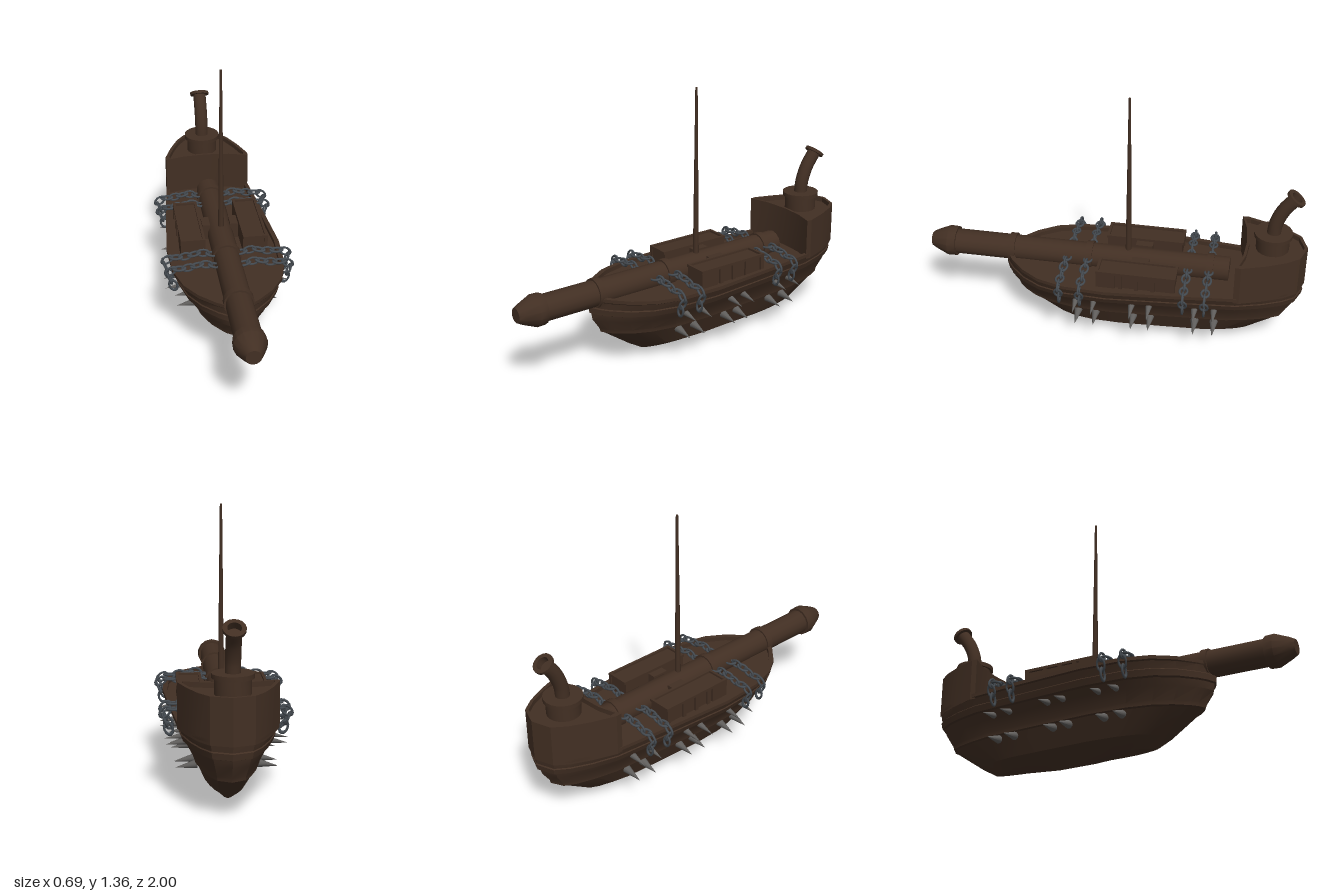
import * as THREE from 'three';
import { toCreasedNormals } from 'three/addons/utils/BufferGeometryUtils.js';

const wood = new THREE.MeshStandardMaterial({ color: 0x422f23 });
wood.name = 'dark wood';
const iron = new THREE.MeshStandardMaterial({ color: 0x454b51 });
iron.name = 'chain iron';
const steel = new THREE.MeshStandardMaterial({ color: 0x605e5c });
steel.name = 'spike steel';

// Deck outline as [half width, z], bow to stern
const plan = [[0, .59], [.06, .565], [.105, .535], [.185, .46], [.25, .36], [.29, .22], [.30, 0],
  [.27, -.35], [.237, -.67], [.195, -.80], [.148, -.90], [.10, -.965], [0, -1]];

function createModel() {
  const model = new THREE.Group();

  function add(name, geometry, material = wood, parent = model) {
    const mesh = new THREE.Mesh(geometry, material);
    mesh.name = name;
    parent.add(mesh);
    return mesh;
  }
  function box(name, x, y, z, w, h, d, parent = model) {
    const m = add(name, new THREE.BoxGeometry(w, h, d), wood, parent);
    m.position.set(x, y, z);
    return m;
  }
  const lathe = (pts, sides = 16) =>
    toCreasedNormals(new THREE.LatheGeometry(pts.map(p => new THREE.Vector2(...p)), sides), .6);

  // Joins closed rings of [x, y, z], listed bottom to top
  function loft(rings) {
    const n = rings[0].length, index = [];
    for (let r = 0; r < rings.length - 1; r++) {
      for (let i = 0; i < n; i++) {
        const a = r * n + i, b = r * n + (i + 1) % n;
        index.push(a, b, b + n, a, b + n, a + n);
      }
    }
    const g = new THREE.BufferGeometry();
    g.setAttribute('position', new THREE.Float32BufferAttribute(rings.flat(2), 3));
    g.setIndex(index);
    return toCreasedNormals(g, .4);
  }
  // Closes a half outline by mirroring it across x = 0
  const mirrored = half => [...half, ...half.slice(1, -1).reverse().map(([x, y, z]) => [-x, y, z])];

  // Hull: each level is y, bow z, stern z, half width, keel sag
  const levels = [
    [.03, .27, -.65, 0, .03], [.032, .28, -.655, .05], [.08, .36, -.74, .13], [.19, .515, -.905, .18],
    [.195, .53, -.92, .19], [.215, .535, -.925, .194], [.275, .575, -.965, .23], [.31, .58, -.975, .252],
    [.315, .59, -.99, .265], [.345, .59, -.995, .278], [.35, .585, -.99, .274], [.385, .588, -.995, .29],
    [.39, .59, -1, .30], [.408, .59, -1, .30], [.408, .565, -.975, .275], [.385, .565, -.975, .275],
    [.385, .565, -.975, 0]];
  add('hull', loft(levels.map(([y, zF, zB, w, sag = 0]) => mirrored(plan.map(([px, pz]) => {
    const t = (pz + 1) / 1.59;
    return [px / .30 * w, y - sag * (1 - Math.abs(2 * t - 1)), zB + (zF - zB) * t];
  })))));

  // Stern castle with a low parapet and a bowed-in front wall
  const castle = [[0, -.69], [.13, -.68], [.235, -.65], [.237, -.68], ...plan.slice(9)];
  add('sternCastle', loft([[.38, 1], [.60, 1], [.60, .9], [.575, .9], [.575, 0]].map(([y, s]) =>
    mirrored(castle.map(([x, z]) => [x * s, y, -.83 + (z + .83) * s])))));

  // Chimney: stepped drum, bent pipe and flared mouth
  const chimney = new THREE.Group();
  chimney.name = 'chimney';
  chimney.position.set(-.01, 0, -.82);
  model.add(chimney);
  add('chimneyBase', lathe([[.085, .56], [.085, .65], [.098, .65], [.098, .672], [0, .672]], 20), wood, chimney);
  const bend = new THREE.CatmullRomCurve3([[.66, 0], [.73, -.008], [.81, -.04], [.885, -.095]]
    .map(([y, z]) => new THREE.Vector3(0, y, z)));
  add('chimneyPipe', new THREE.TubeGeometry(bend, 10, .036, 14), wood, chimney);
  const mouth = add('chimneyMouth', lathe([[.03, -.008], [.053, -.008], [.053, .008],
    [.032, .008], [.032, -.03], [0, -.03]]), wood, chimney);
  mouth.position.copy(bend.getPoint(1));
  mouth.quaternion.setFromUnitVectors(new THREE.Vector3(0, 1, 0), bend.getTangent(1));

  // Long ram along the centre line, with bands
  const ram = new THREE.Group();
  ram.name = 'ram';
  ram.position.y = .415;
  ram.rotation.x = Math.PI / 2;
  model.add(ram);
  add('ramShaft', lathe([[0, -.61], [.068, -.61], [.068, .86], [.08, .86], [.082, .905],
    [.052, .975], [.038, 1], [0, 1]], 14), wood, ram);
  for (const z of [.55, .13, -.51]) {
    add('ramBand', new THREE.CylinderGeometry(.077, .077, .036, 16), wood, ram).position.y = z;
  }

  // Mast
  add('mast', new THREE.CylinderGeometry(.006, .016, .93, 10)).position.set(0, .905, -.075);

  // Chain link shared by all chains
  const link = new THREE.TorusGeometry(.02, .006, 6, 12).scale(1.5, 1, 1);
  const widthAt = z => {
    const i = plan.findIndex(p => p[1] <= z), [a, b] = [plan[i - 1], plan[i]];
    return a[0] + (b[0] - a[0]) * (a[1] - z) / (a[1] - b[1]);
  };

  for (const s of [1, -1]) {
    const side = s > 0 ? 'left' : 'right';

    // Deck house with slotted outer wall and framed roof
    const house = new THREE.Group();
    house.name = side + 'DeckHouse';
    house.position.set(s * .165, 0, -.147);
    model.add(house);
    box('houseBody', -s * .006, .42, 0, .118, .1, .40, house);
    box('houseFront', s * .057, .425, .155, .016, .09, .10, house);
    for (const z of [.078, -.005, -.09, -.195]) box('housePost', s * .057, .425, z, .016, .09, .02, house);
    for (const x of [-.058, .058]) box('roofEdge', x, .474, 0, .014, .014, .414, house);
    for (const z of [-.2, .2]) box('roofEdge', 0, .474, z, .13, .014, .014, house);

    // Block beside the mast
    box(side + 'MastBlock', s * .075, .425, -.15, .042, .09, .09);

    // Two rows of hull spikes, tips drooping a little
    for (const z of [.165, .07, -.13, -.22, -.455, -.555]) {
      const f = Math.min(1, widthAt(z) / .29);
      for (const [y, x, len, r] of [[.285, .225, .10, .017], [.172, .165, .105, .022]]) {
        const spike = add(side + 'Spike', new THREE.ConeGeometry(r, len, 10), steel);
        spike.position.set(s * (x * f + len / 2), y - .008, z);
        spike.rotation.z = -s * (Math.PI / 2 + .16);
      }
    }

    // Chains from the ram over the rail
    for (const z of [.24, .13, -.40, -.51]) {
      const e = Math.max(.27, widthAt(z));
      const path = new THREE.CatmullRomCurve3([[.075, .435], [.14, .447], [.22, .432], [e, .428],
        [e + .028, .405], [e + .005, .335]].map(([x, y]) => new THREE.Vector3(s * x, y, 0)));
      const chain = new THREE.Group();
      chain.name = side + 'Chain';
      chain.position.z = z;
      model.add(chain);
      for (let i = 0; i < 8; i++) {
        const t = path.getTangentAt(i / 7), l = add('chainLink', link, iron, chain);
        l.position.copy(path.getPointAt(i / 7));
        l.rotation.set(i % 2 ? 0 : Math.PI / 2, 0, Math.atan2(t.y, t.x), 'ZYX');
      }
    }
  }
  return model;
}

export { createModel };
